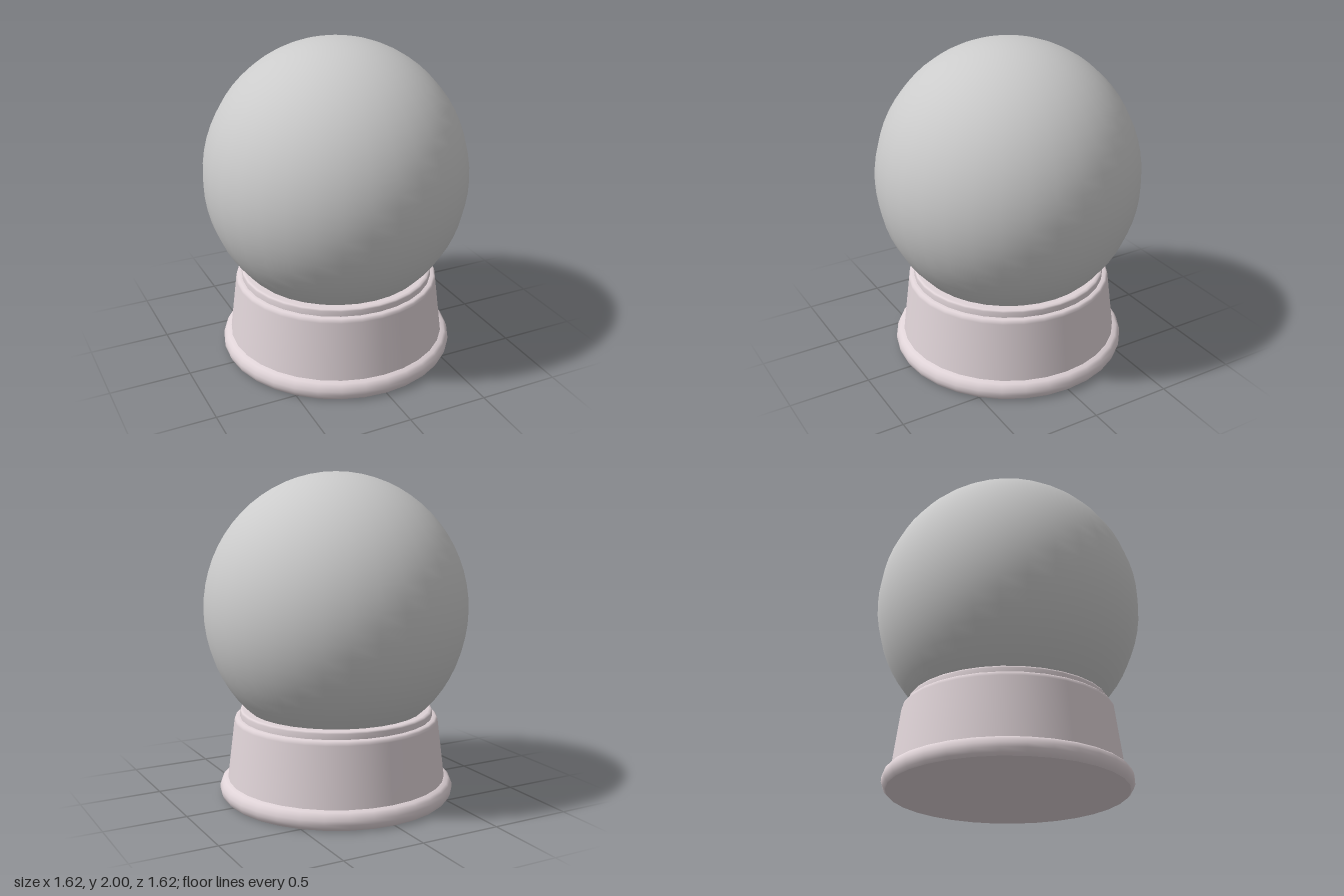
import * as THREE from 'three';

const SIDES = 32;
const baseMaterial = new THREE.MeshStandardMaterial({ color: 0xdfd3d7, side: THREE.DoubleSide });
const globeMaterial = new THREE.MeshStandardMaterial({ color: 0xcccccc });

// Turned ring from [radius, height] pairs, listed bottom to top
function turned(name, profile) {
  const points = profile.map(([r, y]) => new THREE.Vector2(r, y));
  const mesh = new THREE.Mesh(new THREE.LatheGeometry(points, SIDES), baseMaterial);
  mesh.name = name;
  return mesh;
}

export function createModel() {
  const model = new THREE.Group();
  model.name = 'snowGlobe';

  // Stand: separate rings keep the creases between them sharp
  const stand = new THREE.Group();
  stand.name = 'stand';
  stand.add(
    turned('underside', [[0, 0], [0.705, 0]]),
    turned('footRim', [[0.705, 0], [0.72, 0.015], [0.73, 0.04], [0.73, 0.065], [0.72, 0.09], [0.705, 0.105], [0.68, 0.113]]),
    turned('body', [[0.68, 0.113], [0.635, 0.475], [0.632, 0.49], [0.622, 0.5], [0.6, 0.502]]),
    turned('collar', [[0.6, 0.5], [0.6, 0.535], [0.595, 0.545], [0.58, 0.548], [0.52, 0.548]])
  );
  model.add(stand);

  // Glass ball, slightly taller than wide, sunk into the collar
  const globe = new THREE.Mesh(new THREE.SphereGeometry(1, SIDES, 32), globeMaterial);
  globe.name = 'glassGlobe';
  globe.scale.set(0.81, 0.835, 0.81);
  globe.position.y = 1.165;
  model.add(globe);

  return model;
}
